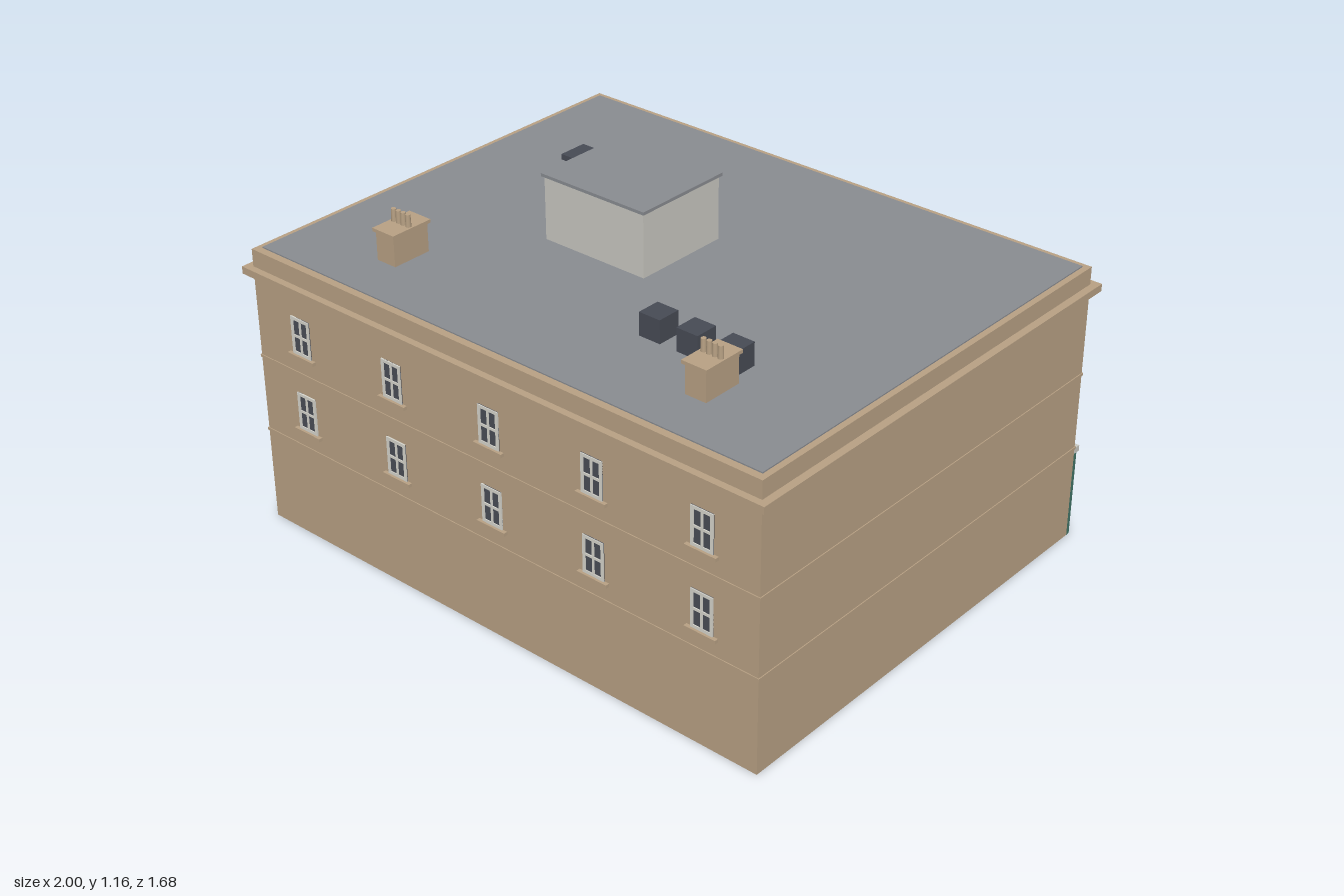
import * as THREE from 'three';

const mat = (name, color) => {
  const m = new THREE.MeshStandardMaterial({ color });
  m.name = name;
  return m;
};

export function createModel() {
  const stone = mat('tan stone', 0xb8a184);
  const roofGrey = mat('roof grey', 0x898c91);
  const pale = mat('pale render', 0xc9c8c1);
  const frameWhite = mat('window frame', 0xd6d5cd);
  const glass = mat('dark glass', 0x4a4d57);
  const plant = mat('dark metal', 0x474b55);
  const green = mat('shopfront green', 0x417467);
  const red = mat('awning red', 0xc06062);

  const model = new THREE.Group();
  model.name = 'cornerBuilding';

  // Box given by its limits on each axis
  const box = (parent, name, m, x0, x1, y0, y1, z0, z1) => {
    const mesh = new THREE.Mesh(new THREE.BoxGeometry(x1 - x0, y1 - y0, z1 - z0), m);
    mesh.position.set((x0 + x1) / 2, (y0 + y1) / 2, (z0 + z1) / 2);
    mesh.name = name;
    parent.add(mesh);
    return mesh;
  };
  const group = (name, parent = model) => {
    const g = new THREE.Group();
    g.name = name;
    parent.add(g);
    return g;
  };

  const W = 0.975, ZF = 0.815, ZB = -0.713;

  // Main block, cornice, string courses and roof
  box(model, 'walls', stone, -W, W, 0, 0.942, ZB, ZF);
  box(model, 'cornice', stone, -1, 1, 0.86, 0.884, -0.738, 0.838);
  for (const y of [0.315, 0.575])
    box(model, 'stringCourse', stone, -W - 0.003, W + 0.003, y, y + 0.009, ZB - 0.003, ZF + 0.003);
  box(model, 'roof', roofGrey, -0.955, 0.955, 0.93, 0.946, -0.693, 0.79);

  // Sash window facing +z, standing on y = 0 with the wall at z = 0
  const addWindow = (parent, w, h, surround) => {
    const g = group('window', parent);
    const b = 0.01;
    box(g, 'pane', glass, -w / 2, w / 2, 0, h, -0.002, 0.002);
    for (const s of [-1, 1]) {
      const x = s * (w / 2 - b / 2);
      box(g, 'stile', frameWhite, x - b / 2, x + b / 2, 0, h, -0.002, 0.005);
    }
    for (const y of [0, h / 2 - 0.004, h - b])
      box(g, 'rail', frameWhite, -w / 2 + b, w / 2 - b, y, y + (y > 0 && y < h - b ? 0.008 : b), -0.002, 0.005);
    box(g, 'glazingBar', frameWhite, -0.004, 0.004, b, h - b, -0.002, 0.0045);
    const o = surround ? 0.018 : 0;
    box(g, 'sill', stone, -w / 2 - o - 0.016, w / 2 + o + 0.016, -0.011, 0, -0.002, 0.013);
    if (surround) {
      for (const s of [-1, 1]) {
        const x = s * (w / 2 + o / 2);
        box(g, 'jamb', stone, x - o / 2, x + o / 2, 0, h, -0.002, 0.007);
      }
      box(g, 'lintel', stone, -w / 2 - o, w / 2 + o, h, h + 0.022, -0.002, 0.007);
    }
    return g;
  };

  // Five windows per floor on the front, six framed ones on the shop side
  const frontWindows = group('frontWindows');
  const shopSideWindows = group('shopSideWindows');
  for (const y of [0.385, 0.648]) {
    for (let i = -2; i <= 2; i++)
      addWindow(frontWindows, 0.078, 0.126, false).position.set(i * 0.39, y, ZF);
    for (let i = 0; i < 6; i++) {
      const win = addWindow(shopSideWindows, 0.09, 0.142, true);
      win.position.set((i - 2.5) * 0.325, y, ZB);
      win.rotation.y = Math.PI;
    }
  }

  // Shopfront: three bays of four panes between pilasters
  const shop = group('shopfront');
  box(shop, 'stallRiser', green, -W, W, 0, 0.05, -0.722, ZB);
  box(shop, 'fascia', green, -W, W, 0.245, 0.3, -0.722, ZB);
  box(shop, 'shopCornice', pale, -W - 0.003, W + 0.003, 0.3, 0.32, -0.735, ZB);
  for (let i = -1; i <= 1; i++) {
    const cx = i * 0.65;
    box(shop, 'shopGlass', glass, cx - 0.3, cx + 0.3, 0.05, 0.245, -0.717, ZB);
    for (let k = -1; k <= 1; k++)
      box(shop, 'mullion', green, cx + k * 0.15 - 0.004, cx + k * 0.15 + 0.004, 0.05, 0.245, -0.721, ZB);
  }
  for (const [a, b] of [[-W, -0.945], [-0.35, -0.3], [0.3, 0.35], [0.945, W]])
    box(shop, 'pilaster', green, a, b, 0, 0.3, -0.727, ZB);

  // Sloping awning over the middle bay
  const awning = new THREE.Mesh(new THREE.BoxGeometry(0.572, 0.004, Math.hypot(0.118, 0.055)), red);
  awning.position.set(0, 0.223, -0.779);
  awning.rotation.x = -Math.atan2(0.055, 0.118);
  awning.name = 'awning';
  shop.add(awning);

  // Stair housing on the roof
  box(model, 'stairHousing', pale, -0.352, 0.036, 0.94, 1.153, -0.133, 0.203);
  box(model, 'stairHousingRoof', roofGrey, -0.36, 0.043, 1.153, 1.163, -0.142, 0.21);

  // Chimneys with four pots each
  for (const x of [-0.597, 0.591]) {
    const chimney = group('chimney');
    chimney.position.set(x, 0, 0.556);
    box(chimney, 'stack', stone, -0.037, 0.037, 0.94, 1.04, -0.068, 0.068);
    box(chimney, 'stackCap', stone, -0.044, 0.044, 1.04, 1.051, -0.075, 0.075);
    for (let i = 0; i < 4; i++) {
      const pot = new THREE.Mesh(new THREE.CylinderGeometry(0.008, 0.009, 0.041, 10), stone);
      pot.position.set((i - 1.5) * 0.02, 1.0705, 0);
      pot.name = 'chimneyPot';
      chimney.add(pot);
    }
  }

  // Rooftop plant boxes and low roof lights
  for (const x of [0.289, 0.425, 0.561])
    box(model, 'plantUnit', plant, x - 0.038, x + 0.038, 0.94, 1.021, 0.387, 0.465);
  for (const x of [-0.626, -0.354])
    box(model, 'roofLight', plant, x - 0.076, x + 0.076, 0.94, 0.965, -0.338, -0.236);

  return model;
}
